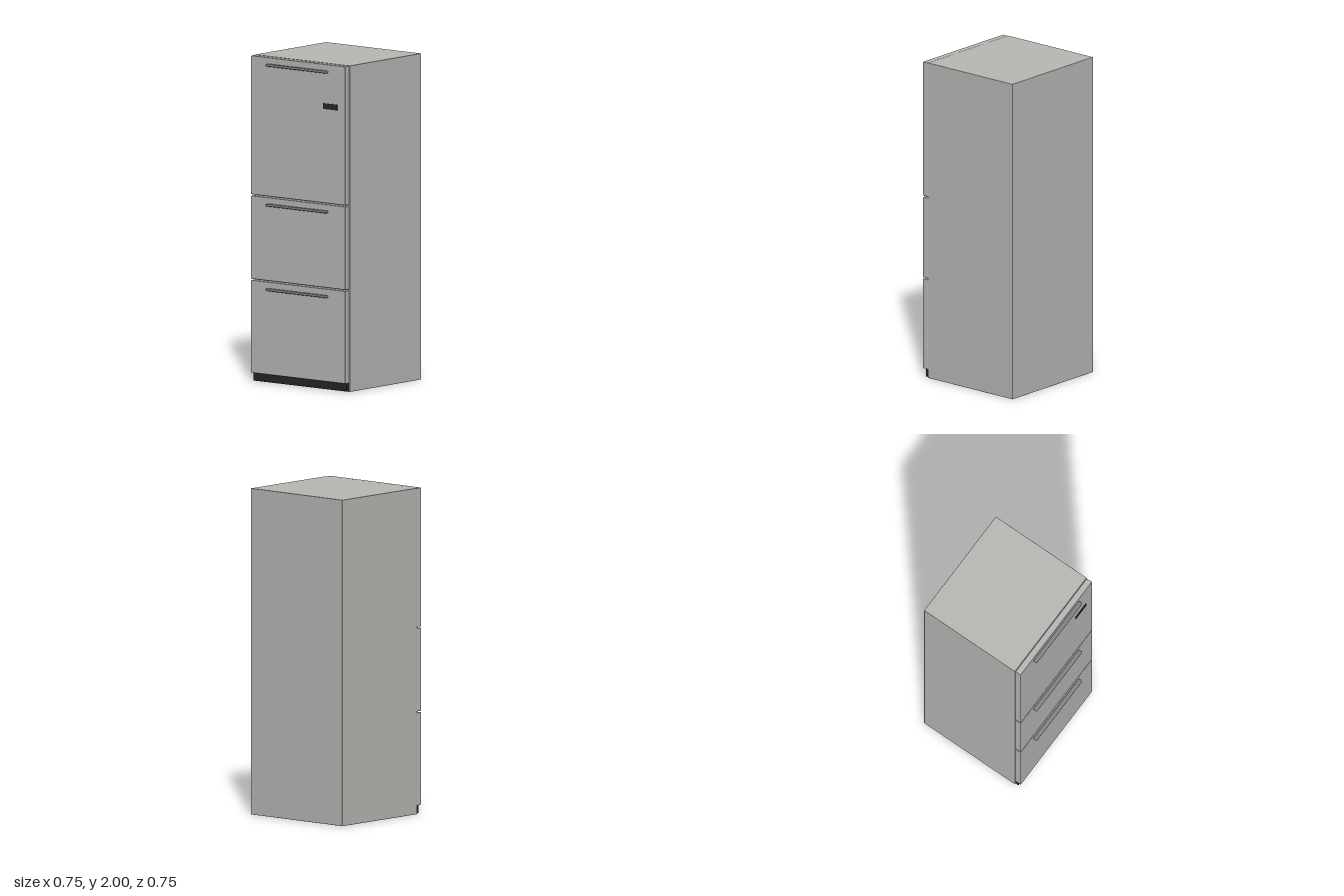
import * as THREE from 'three';
import { RoundedBoxGeometry } from 'three/addons/geometries/RoundedBoxGeometry.js';

const material = (name, color) => {
  const m = new THREE.MeshStandardMaterial({ color });
  m.name = name;
  return m;
};

export function createModel() {
  const group = new THREE.Group();
  group.name = 'refrigerator';
  const steel = material('brushed steel', 0xb8b8b5);
  const handleGrey = material('handle grey', 0x80838b);
  const black = material('dark plastic', 0x25252a);

  // Box given by its min/max limits; a radius rounds its edges
  const box = (name, mat, [x0, x1], [y0, y1], [z0, z1], radius = 0) => {
    const size = [x1 - x0, y1 - y0, z1 - z0];
    const geometry = radius
      ? new RoundedBoxGeometry(...size, 3, radius)
      : new THREE.BoxGeometry(...size);
    const mesh = new THREE.Mesh(geometry, mat);
    mesh.name = name;
    mesh.position.set((x0 + x1) / 2, (y0 + y1) / 2, (z0 + z1) / 2);
    group.add(mesh);
  };

  // Cabinet and recessed kick plate
  box('cabinet', steel, [-0.373, 0.373], [0, 2], [-0.373, 0.305], 0.002);
  box('kickPlate', black, [-0.366, 0.366], [0.004, 0.054], [0.3, 0.327]);

  // Door and two drawers, each with a bar handle near its top edge
  const fronts = [
    ['upperDoor', 1.148, 1.999, 1.954],
    ['middleDrawer', 0.63, 1.14, 1.096],
    ['lowerDrawer', 0.054, 0.622, 0.577],
  ];
  for (const [name, bottom, top, handleY] of fronts) {
    box(name, steel, [-0.371, 0.371], [bottom, top], [0.307, 0.347], 0.004);
    box(name + 'Handle', handleGrey, [-0.238, 0.238],
      [handleY - 0.0075, handleY + 0.0075], [0.345, 0.372], 0.006);
  }

  // Display panel on the upper door
  box('displayPanel', black, [0.2, 0.309], [1.725, 1.76], [0.342, 0.35]);

  return group;
}
